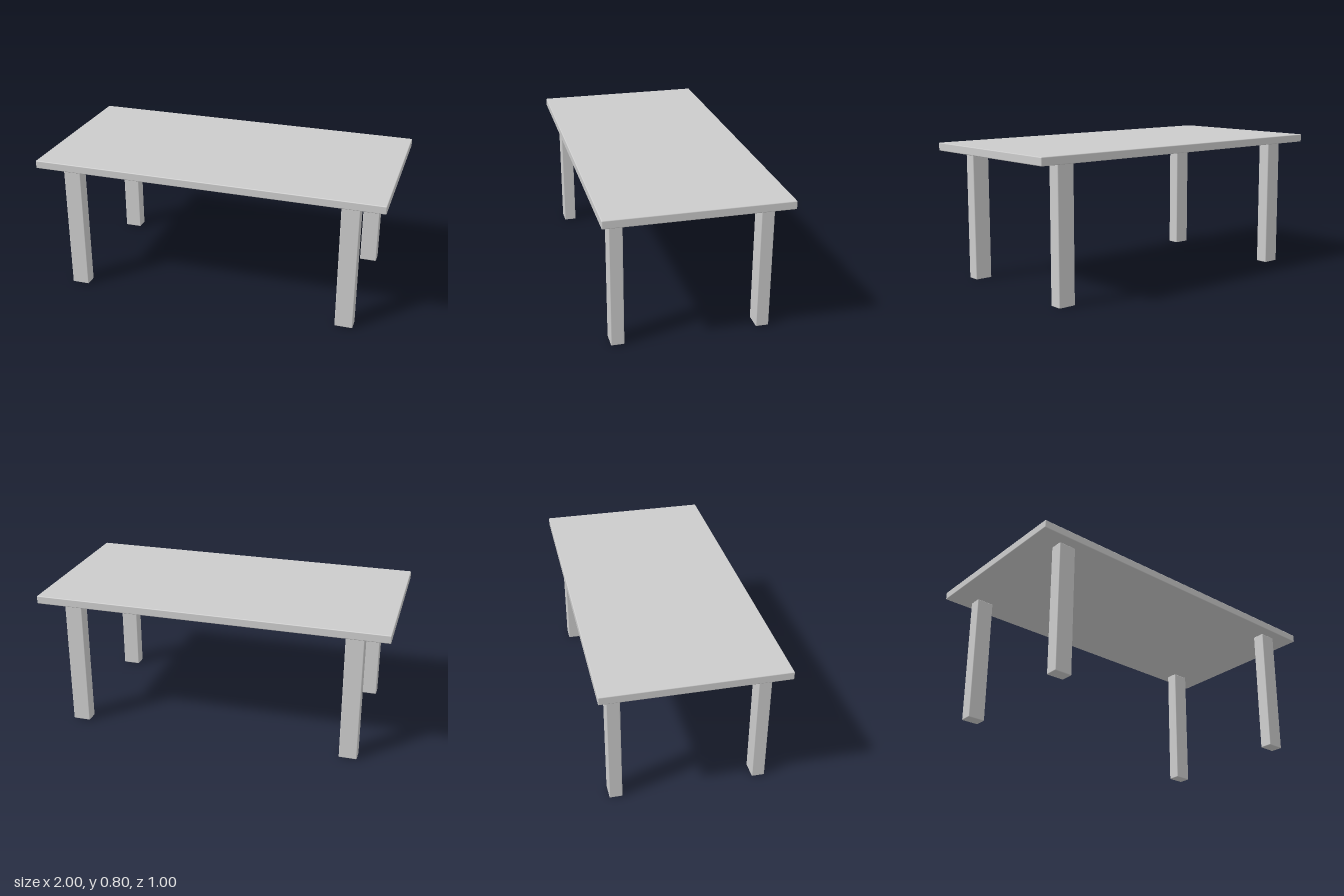
import * as THREE from 'three';
import { RoundedBoxGeometry } from 'three/addons/geometries/RoundedBoxGeometry.js';

export function createModel() {
  const table = new THREE.Group();
  table.name = 'table';
  const material = new THREE.MeshStandardMaterial({ color: 0xcccccc });

  // Slab or post with softly eased edges, placed by its underside
  function addBlock(name, w, h, d, x, bottom, z) {
    const mesh = new THREE.Mesh(new RoundedBoxGeometry(w, h, d, 3, 0.005), material);
    mesh.name = name;
    mesh.position.set(x, bottom + h / 2, z);
    table.add(mesh);
  }

  const height = 0.8;
  const thickness = 0.046;
  const underside = height - thickness;

  // Tabletop
  addBlock('tabletop', 2, thickness, 1, 0, underside, 0);

  // Four rectangular legs, set in from the corners
  for (const [side, sx] of [['Left', 1], ['Right', -1]]) {
    for (const [end, sz] of [['front', 1], ['back', -1]]) {
      addBlock(`${end}${side}Leg`, 0.102, underside, 0.073, sx * 0.807, 0, sz * 0.404);
    }
  }

  return table;
}
